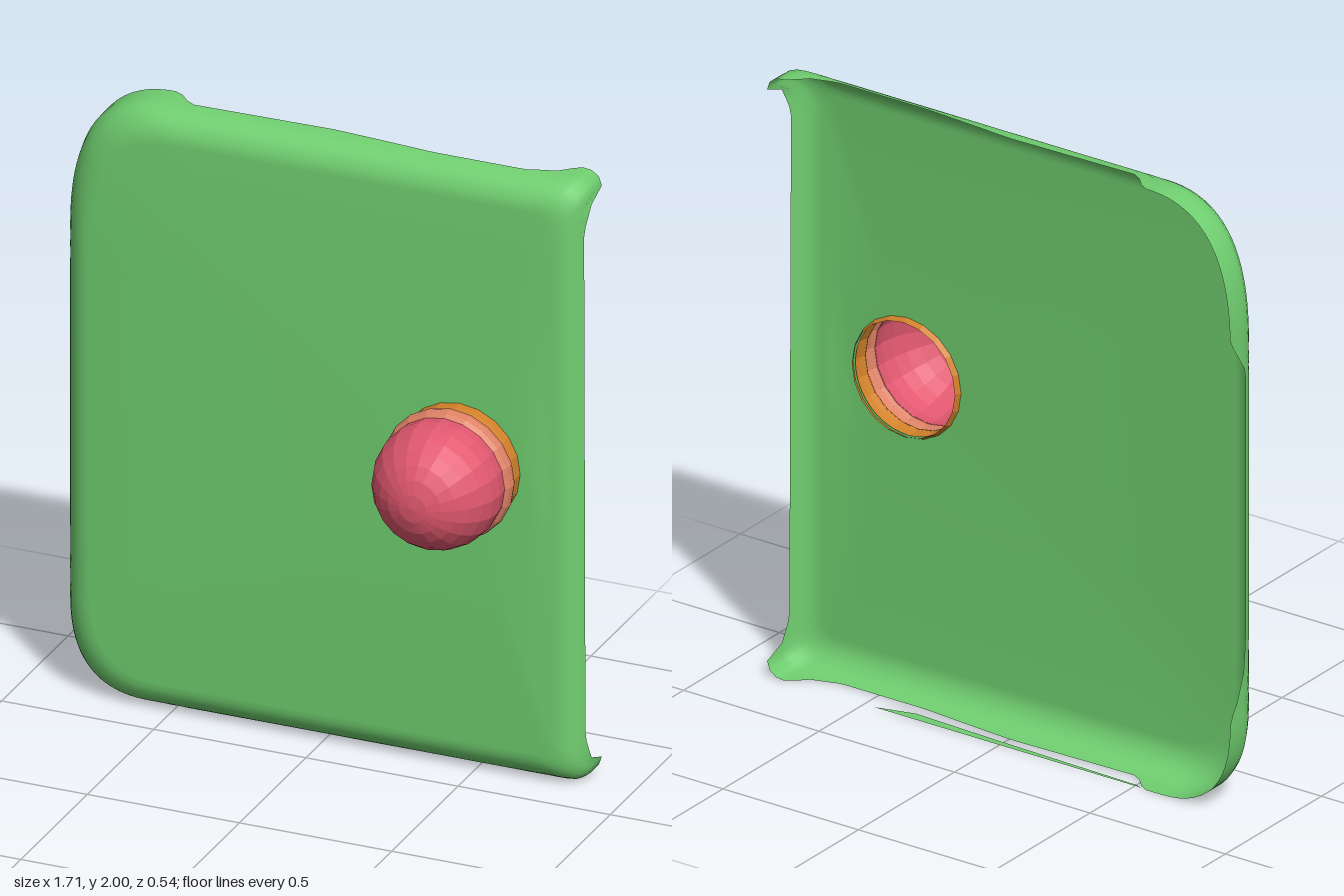
import * as THREE from 'three';

const W = 0.855, H = 2, BX = 0.465, BY = 1.03;

const material = (name, color, flatShading = false) =>
  new THREE.MeshStandardMaterial({ name, color, flatShading, side: THREE.DoubleSide });

// Piecewise linear value through [position, value] stops
function along(stops, v) {
  if (v <= stops[0][0]) return stops[0][1];
  for (let i = 1; i < stops.length; i++) {
    const [a, p] = stops[i - 1], [b, q] = stops[i];
    if (v <= b) return p + (q - p) * (v - a) / (b - a);
  }
  return stops[stops.length - 1][1];
}

// Depth of the back rim on each side, with its cutouts
const leftCut = [[0.31, -0.27], [0.36, -0.235], [0.45, -0.2], [0.55, -0.19], [1.45, -0.19], [1.57, -0.27]];
const rightCut = [[0.05, -0.27], [0.08, -0.19], [0.15, -0.165], [1.85, -0.16], [1.92, -0.19], [1.95, -0.27]];
const endCut = [[-0.53, -0.27], [-0.47, -0.205], [0, -0.215], [0.33, -0.19], [0.64, -0.19], [0.74, -0.22], [0.78, -0.27]];
function rimDepth(x, y) {
  if (x < -0.8) return along(leftCut, y);
  if (x > 0.8) return along(rightCut, y);
  return y > 1.9 || y < 0.1 ? along(endCut, x) : -0.27;
}

// Panel outline, counterclockwise: wide corners on one side, tight on the other
function outline(count) {
  const s = new THREE.Shape(), r = 0.06;
  s.moveTo(W, 1);
  s.lineTo(W, H - r);
  s.quadraticCurveTo(W, H, W - r, H);
  s.lineTo(-0.55, H);
  s.quadraticCurveTo(-W, H, -W, 1.55);
  s.lineTo(-W, 0.3);
  s.quadraticCurveTo(-W, 0, -0.6, 0);
  s.lineTo(W - r, 0);
  s.quadraticCurveTo(W, 0, W, r);
  s.lineTo(W, 1);
  return s.getSpacedPoints(count).slice(0, count);
}

// Panel lofted from the round hole, over the face, around the edge to the rim
function panelGeometry() {
  const pts = outline(240), n = pts.length, faceRings = 6, edgeRings = 9;
  const rings = faceRings + edgeRings, pos = [], idx = [], round = 0.1, front = -0.105;
  const inset = (p, d) => [p.x * (1 - d / W), 1 + (p.y - 1) * (1 - d)];
  for (let i = 0; i < rings; i++) {
    for (const p of pts) {
      if (i < faceRings) {
        const [ex, ey] = inset(p, round), a = Math.atan2(ey - BY, ex - BX), t = i / faceRings;
        const x = THREE.MathUtils.lerp(BX + 0.19 * Math.cos(a), ex, t);
        const y = THREE.MathUtils.lerp(BY + 0.19 * Math.sin(a), ey, t);
        pos.push(x, y, front + 0.014 * (1 - t * t));
      } else {
        const t = (i - faceRings) / (edgeRings - 1);
        const z = front + (rimDepth(p.x, p.y) - front) * t * t;
        const u = Math.min(1, (front - z) / round);
        const [x, y] = inset(p, round * (1 - Math.sqrt(1 - (1 - u) ** 2)));
        pos.push(x, y, z);
      }
    }
  }
  for (let i = 0; i < rings - 1; i++) {
    for (let j = 0; j < n; j++) {
      const k = (j + 1) % n, a = i * n + j, b = a + n, c = (i + 1) * n + k, d = i * n + k;
      idx.push(a, b, c, a, c, d);
    }
  }
  const g = new THREE.BufferGeometry();
  g.setAttribute('position', new THREE.Float32BufferAttribute(pos, 3));
  g.setIndex(idx);
  g.computeVertexNormals();
  return g;
}

// Turned part whose axis points forward; profile is [radius, z]
function turned(name, profile, sides, mat) {
  const g = new THREE.LatheGeometry(profile.map(([r, z]) => new THREE.Vector2(r, z)), sides);
  g.rotateX(Math.PI / 2);
  const m = new THREE.Mesh(g, mat);
  m.name = name;
  m.position.set(BX, BY, 0);
  return m;
}

export function createModel() {
  const group = new THREE.Group();
  const green = material('panel green', 0x70cf70);
  const orange = material('collar orange', 0xd18129, true);
  const salmon = material('ring salmon', 0xdf8366, true);
  const pink = material('knob pink', 0xe2586f, true);

  const panel = new THREE.Mesh(panelGeometry(), green);
  panel.name = 'panel';
  group.add(panel);

  // Narrow strip behind the slot in the bottom edge
  const strip = new THREE.Shape();
  [[-0.53, 0.27], [-0.5, 0.262], [0, 0.248], [0.33, 0.235], [0.46, 0.27]]
    .forEach(([x, y], i) => (i ? strip.lineTo(x, y) : strip.moveTo(x, y)));
  const stripMesh = new THREE.Mesh(new THREE.ShapeGeometry(strip).rotateX(-Math.PI / 2), green);
  stripMesh.name = 'bottomStrip';
  stripMesh.position.y = 0.003;
  group.add(stripMesh);

  // Hollow knob: collar, raised ring and dome
  group.add(turned('collar', [[0.19, -0.11], [0.2, -0.09], [0.198, -0.06], [0.192, -0.035]], 20, orange));
  group.add(turned('ring', [[0.192, -0.038], [0.208, -0.03], [0.214, -0.01], [0.21, 0.012], [0.198, 0.024]], 20, salmon));
  const dome = [[0.198, 0.02]];
  for (let i = 0; i <= 7; i++) {
    const a = i / 7 * Math.PI / 2;
    dome.push([0.203 * Math.cos(a), 0.065 + 0.203 * Math.sin(a)]);
  }
  group.add(turned('knob', dome, 20, pink));
  return group;
}
